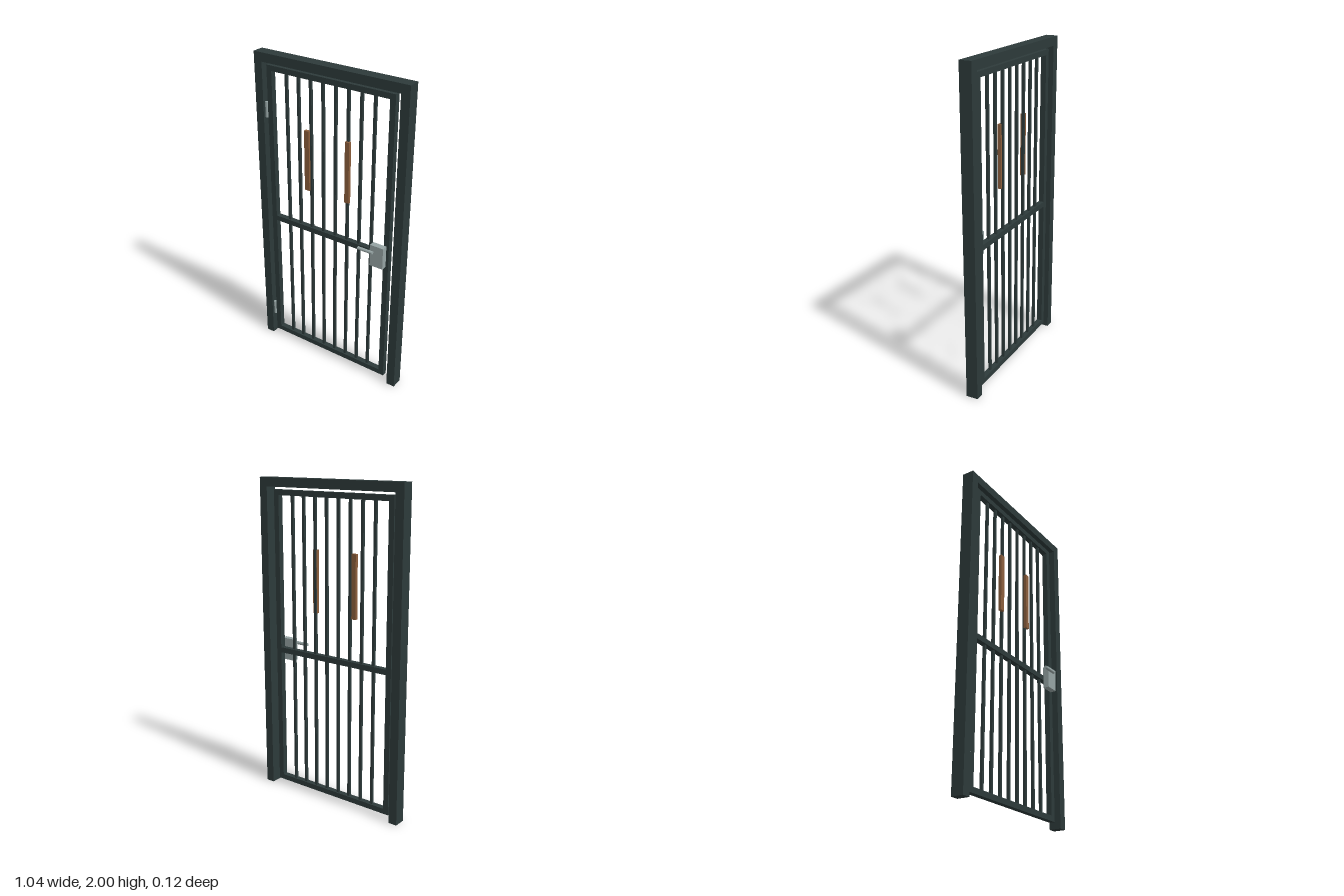
import * as THREE from 'three';

export function createModel() {
  const gate = new THREE.Group();
  gate.name = 'barredGate';

  const material = (name, color) => {
    const m = new THREE.MeshStandardMaterial({ color });
    m.name = name;
    return m;
  };
  const iron = material('darkIron', 0x2d3a3a);
  const steel = material('greySteel', 0x95a3a3);
  const wood = material('wood', 0x8b5e3c);

  // Box given by its limits on each axis
  const box = (name, mat, [x0, x1], [y0, y1], [z0, z1], parent = gate) => {
    const mesh = new THREE.Mesh(new THREE.BoxGeometry(x1 - x0, y1 - y0, z1 - z0), mat);
    mesh.position.set((x0 + x1) / 2, (y0 + y1) / 2, (z0 + z1) / 2);
    mesh.name = name;
    parent.add(mesh);
    return mesh;
  };
  const rod = (name, mat, radius, length, x, y, z, parent = gate) => {
    const mesh = new THREE.Mesh(new THREE.CylinderGeometry(radius, radius, length, 16), mat);
    mesh.position.set(x, y, z);
    mesh.name = name;
    parent.add(mesh);
    return mesh;
  };

  // Fixed outer frame
  const frameZ = [-0.065, 0.01];
  box('rightPost', iron, [-0.518, -0.463], [0, 2], frameZ);
  box('leftPost', iron, [0.463, 0.518], [0, 2], frameZ);
  box('header', iron, [-0.463, 0.463], [1.945, 2], frameZ);

  // Swinging leaf
  const leaf = new THREE.Group();
  leaf.name = 'leaf';
  gate.add(leaf);
  const leafZ = [-0.0425, -0.0075];
  box('hingeStile', iron, [-0.443, -0.408], [0.033, 1.928], leafZ, leaf);
  box('lockStile', iron, [0.39, 0.425], [0.033, 1.928], leafZ, leaf);
  for (const [name, y0, y1] of [
    ['bottomRail', 0.033, 0.066], ['middleRail', 0.912, 0.945], ['topRail', 1.895, 1.928],
  ]) box(name, iron, [-0.408, 0.39], [y0, y1], leafZ, leaf);

  // Square upright bars
  for (let i = 0; i < 8; i++) {
    const x = -0.311 + i * 0.0862;
    box('bar', iron, [x - 0.008, x + 0.008], [0.066, 1.895], [-0.033, -0.017], leaf);
  }

  // Wooden grips beside the bars
  box('rightGrip', wood, [-0.176, -0.143], [1.2, 1.585], [-0.024, -0.004], leaf);
  box('leftGrip', wood, [0.111, 0.14], [1.2, 1.585], [-0.024, -0.004], leaf);

  // Lock case and lever
  box('lockCase', steel, [0.318, 0.408], [0.86, 1], [-0.008, 0.03], leaf);
  rod('lever', steel, 0.01, 0.102, 0.299, 0.965, 0.05, leaf).rotation.z = Math.PI / 2;

  // Hinge barrels
  for (const y of [0.208, 1.652]) rod('hinge', steel, 0.0105, 0.097, -0.453, y, -0.01);

  return gate;
}
